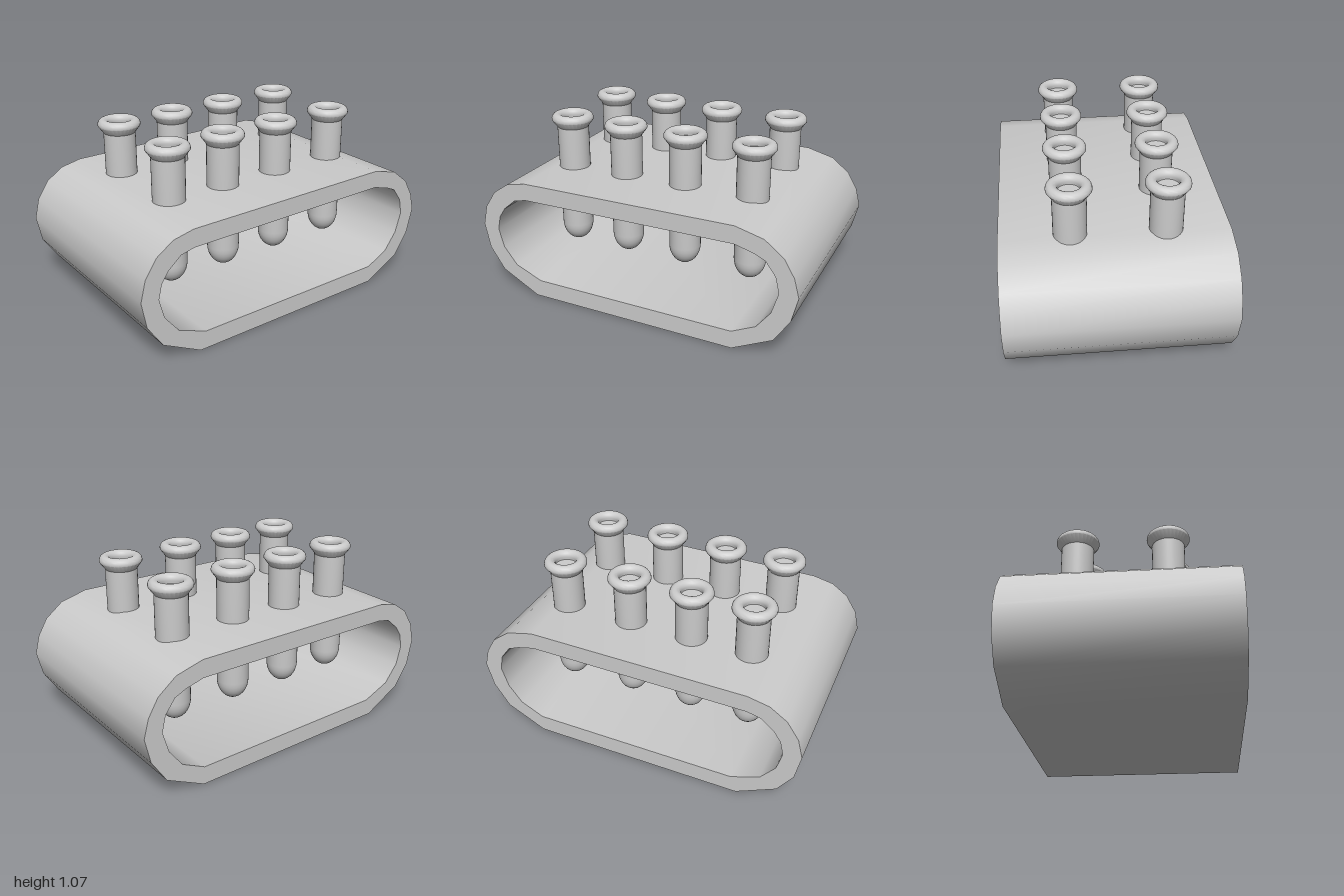
import * as THREE from 'three';
import { toCreasedNormals } from 'three/addons/utils/BufferGeometryUtils.js';

const grey = new THREE.MeshStandardMaterial({ color: 0xcccccc });
const toPoints = (list) => list.map(([x, y]) => new THREE.Vector2(x, y));

// Rounded sleeve, open at the front and back
function createRack() {
  const outer = [
    [-0.645, 0], [0.64, 0], [0.875, 0.12], [0.965, 0.26], [1, 0.41], [0.97, 0.52],
    [0.91, 0.62], [0.8, 0.705], [0.635, 0.747], [-0.675, 0.735], [-0.8, 0.708],
    [-0.9, 0.64], [-0.97, 0.535], [-1, 0.415], [-0.97, 0.26], [-0.88, 0.125],
  ];
  const inner = [
    [-0.61, 0.108], [0.635, 0.108], [0.775, 0.178], [0.855, 0.285], [0.892, 0.41],
    [0.87, 0.505], [0.81, 0.585], [0.74, 0.615], [0.635, 0.642], [-0.675, 0.63],
    [-0.755, 0.612], [-0.835, 0.545], [-0.875, 0.485], [-0.895, 0.4], [-0.865, 0.285],
    [-0.78, 0.178],
  ];
  const shape = new THREE.Shape(toPoints(outer));
  shape.holes.push(new THREE.Path(toPoints(inner)));
  const geometry = new THREE.ExtrudeGeometry(shape, { depth: 1.276, bevelEnabled: false });
  geometry.translate(0, 0, -0.638);
  const rack = new THREE.Mesh(toCreasedNormals(geometry, 0.6), grey);
  rack.name = 'rack';
  return rack;
}

// Round-bottomed tube with a rolled lip and a shallow closed mouth
function createTubeGeometry() {
  const radius = 0.094, profile = [];
  for (let i = 0; i <= 8; i++) {
    const a = (i / 8) * Math.PI / 2;
    profile.push([radius * Math.sin(a), 0.36 - 0.118 * Math.cos(a)]);
  }
  profile.push([radius, 0.985], [radius, 0.99]);
  // Rolled lip, from its underside over the top into the mouth
  for (let i = 0; i <= 12; i++) {
    const a = -0.2 + (i / 12) * (Math.PI + 0.5);
    profile.push([0.0925 + 0.0325 * Math.cos(a), 1.038 + 0.0325 * Math.sin(a)]);
  }
  profile.push([0.062, 1.02], [0.06, 1.02], [0, 1.02]);
  return toCreasedNormals(new THREE.LatheGeometry(toPoints(profile), 32), 0.6);
}

export function createModel() {
  const model = new THREE.Group();
  model.name = 'testTubeRack';
  model.add(createRack());

  // Two rows of four tubes
  const geometry = createTubeGeometry();
  const tubes = new THREE.Group();
  tubes.name = 'tubes';
  for (const z of [0.246, -0.281]) {
    for (const x of [-0.575, -0.21, 0.173, 0.587]) {
      const tube = new THREE.Mesh(geometry, grey);
      tube.name = 'tube';
      tube.position.set(x, 0, z);
      tubes.add(tube);
    }
  }
  model.add(tubes);
  return model;
}
